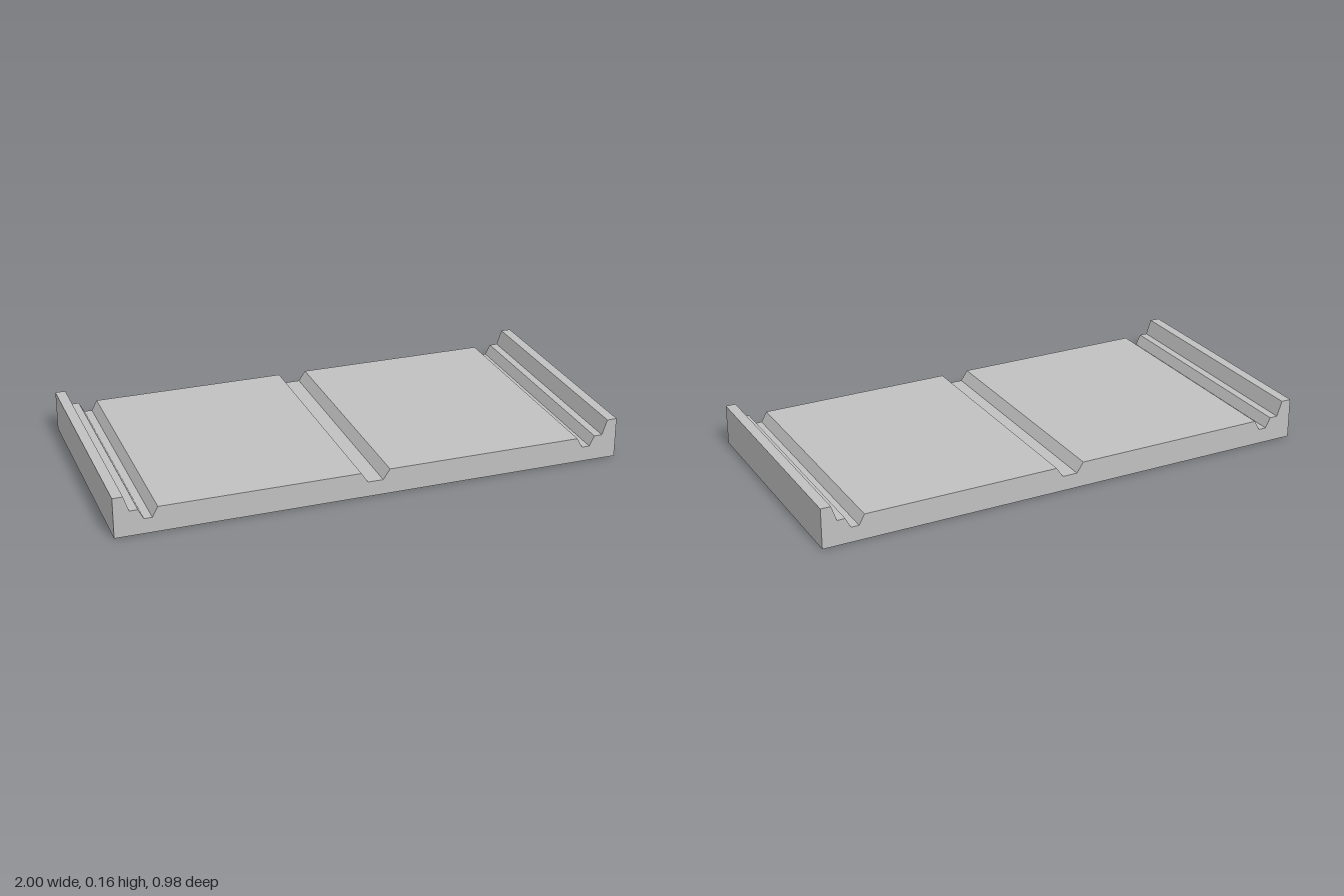
import * as THREE from 'three';

const DEPTH = 0.98;

// Right half of the channelled cross-section, from the centre groove outwards
const HALF_PROFILE = [
  [0.03, 0.06], [0.057, 0.1], // centre groove
  [0.835, 0.1], [0.857, 0.06], [0.888, 0.06], [0.908, 0.1], // side groove
  [0.94, 0.1], [0.96, 0.16], [1, 0.16], // raised rim
  [1, 0],
];

export function createModel() {
  const grey = new THREE.MeshStandardMaterial({ color: 0xc0c0c0 });
  grey.name = 'light grey';

  // Mirror the half profile into one closed outline
  const mirrored = HALF_PROFILE.map(([x, y]) => [-x, y]);
  const outline = [...mirrored.reverse(), ...HALF_PROFILE];
  const shape = new THREE.Shape(outline.map(([x, y]) => new THREE.Vector2(x, y)));

  // Extrude the profile front to back
  const geometry = new THREE.ExtrudeGeometry(shape, { depth: DEPTH, bevelEnabled: false });
  geometry.translate(0, 0, -DEPTH / 2);

  const slab = new THREE.Mesh(geometry, grey);
  slab.name = 'groovedSlab';

  const group = new THREE.Group();
  group.name = 'groovedPanel';
  group.add(slab);
  return group;
}
